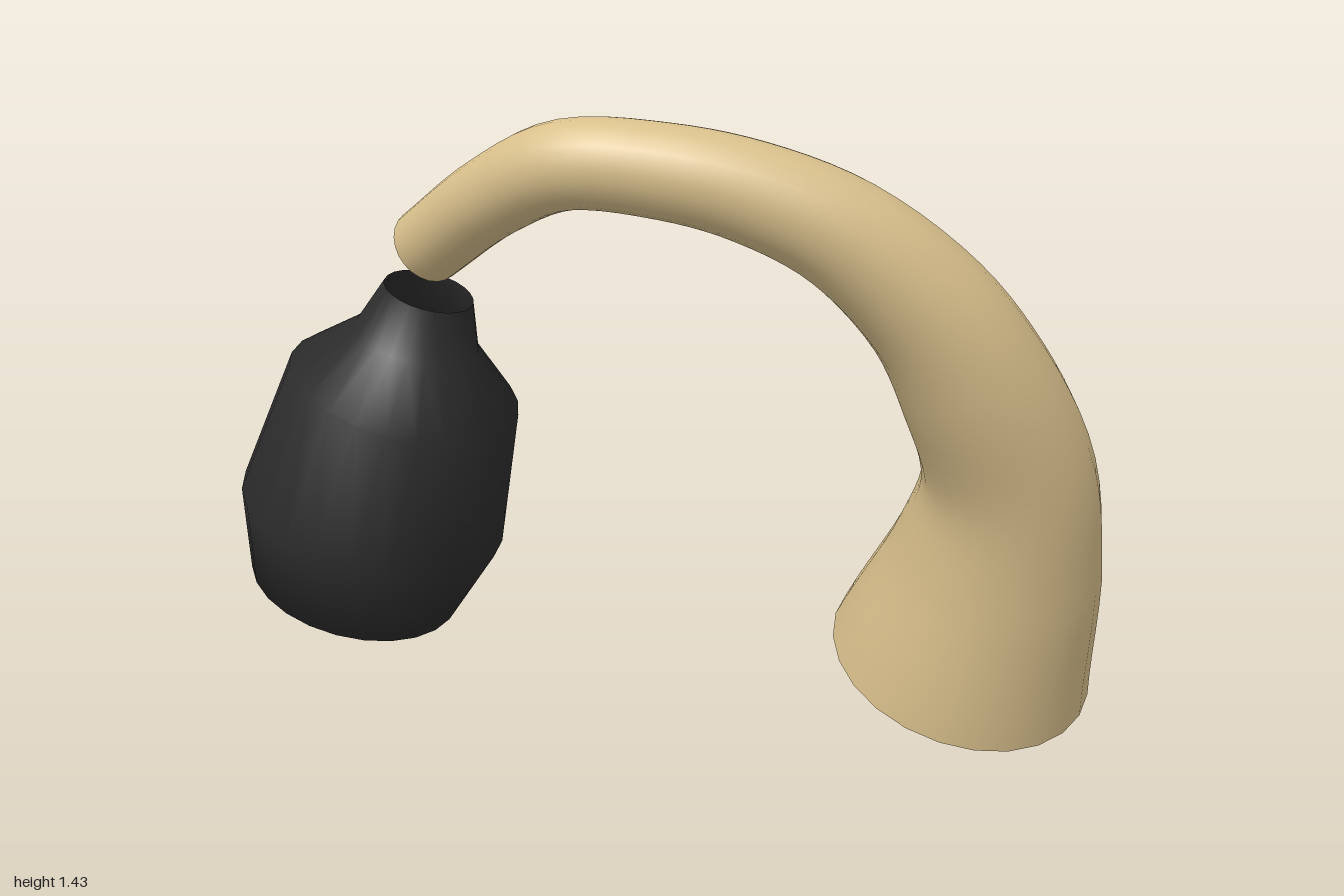
import * as THREE from 'three';

const tan = new THREE.MeshStandardMaterial({ color: 0xd9c08c });
tan.name = 'tan';
const black = new THREE.MeshStandardMaterial({ color: 0x2c2c2c, side: THREE.DoubleSide });
black.name = 'black';

// Centreline stations of the arm: x, y, z, radius
const STATIONS = [
  [0.69, 0.13, -0.08, 0.308],
  [0.745, 0.42, 0.04, 0.24],
  [0.745, 0.65, 0.14, 0.19],
  [0.65, 0.875, 0.235, 0.165],
  [0.54, 1.045, 0.295, 0.14],
  [0.36, 1.205, 0.335, 0.118],
  [0.175, 1.29, 0.345, 0.105],
  [0, 1.33, 0.335, 0.098],
  [-0.2, 1.338, 0.3, 0.093],
  [-0.355, 1.26, 0.195, 0.088],
  [-0.525, 1.12, 0.025, 0.085],
];

// Sweep of a circle whose radius changes along the curve, with flat end caps
function taperedTube(stations, rings, sides) {
  const curve = new THREE.CatmullRomCurve3(stations.map((s) => new THREE.Vector3(s[0], s[1], s[2])));
  const radii = new THREE.CatmullRomCurve3(stations.map((s, i) => new THREE.Vector3(i, s[3], 0)));
  const last = stations.length - 1;
  const pos = [], index = [];
  let side = new THREE.Vector3(1, 0, 0);
  const ringPoints = [];
  for (let i = 0; i <= rings; i++) {
    const t = i / rings;
    const c = curve.getPoint(t), dir = curve.getTangent(t);
    const r = radii.getPoint(t).y;
    // Carry the side vector along so the rings do not twist
    side = side.clone().addScaledVector(dir, -side.dot(dir)).normalize();
    const up = new THREE.Vector3().crossVectors(dir, side);
    const ring = [];
    for (let j = 0; j < sides; j++) {
      const a = (j / sides) * Math.PI * 2;
      ring.push(c.clone().addScaledVector(side, r * Math.cos(a)).addScaledVector(up, r * Math.sin(a)));
    }
    ringPoints.push(ring);
    ring.forEach((p) => pos.push(p.x, p.y, p.z));
  }
  for (let i = 0; i < rings; i++) {
    for (let j = 0; j < sides; j++) {
      const k = (j + 1) % sides;
      const a = i * sides + j, b = i * sides + k;
      index.push(a, b, b + sides, a, b + sides, a + sides);
    }
  }
  // Caps use their own vertices so their edges stay sharp
  const cap = (ring, flip) => {
    const start = pos.length / 3;
    ring.forEach((p) => pos.push(p.x, p.y, p.z));
    for (let j = 1; j < sides - 1; j++) {
      if (flip) index.push(start, start + j + 1, start + j);
      else index.push(start, start + j, start + j + 1);
    }
  };
  cap(ringPoints[0], true);
  cap(ringPoints[rings], false);
  const geometry = new THREE.BufferGeometry();
  geometry.setAttribute('position', new THREE.Float32BufferAttribute(pos, 3));
  geometry.setIndex(index);
  geometry.computeVertexNormals();
  return geometry;
}

export function createModel() {
  const model = new THREE.Group();
  model.name = 'curvedArmAndBottle';

  // Curved arm, wide at the foot and narrow at the tip
  const arm = new THREE.Mesh(taperedTube(STATIONS, 50, 24), tan);
  arm.name = 'curvedArm';
  model.add(arm);

  // Tilted shade, open at the neck: radius, height along its axis
  const profile = [[0, 0], [0.25, 0], [0.312, 0.21], [0.267, 0.546], [0.142, 0.67], [0.102, 0.786]];
  const bottle = new THREE.Mesh(
    new THREE.LatheGeometry(profile.map(([r, y]) => new THREE.Vector2(r, y)), 24), black);
  bottle.name = 'bottleShade';
  bottle.position.set(-0.755, 0.265, -0.19);
  bottle.quaternion.setFromUnitVectors(
    new THREE.Vector3(0, 1, 0), new THREE.Vector3(0.22, 0.74, 0.15).normalize());
  model.add(bottle);

  return model;
}
